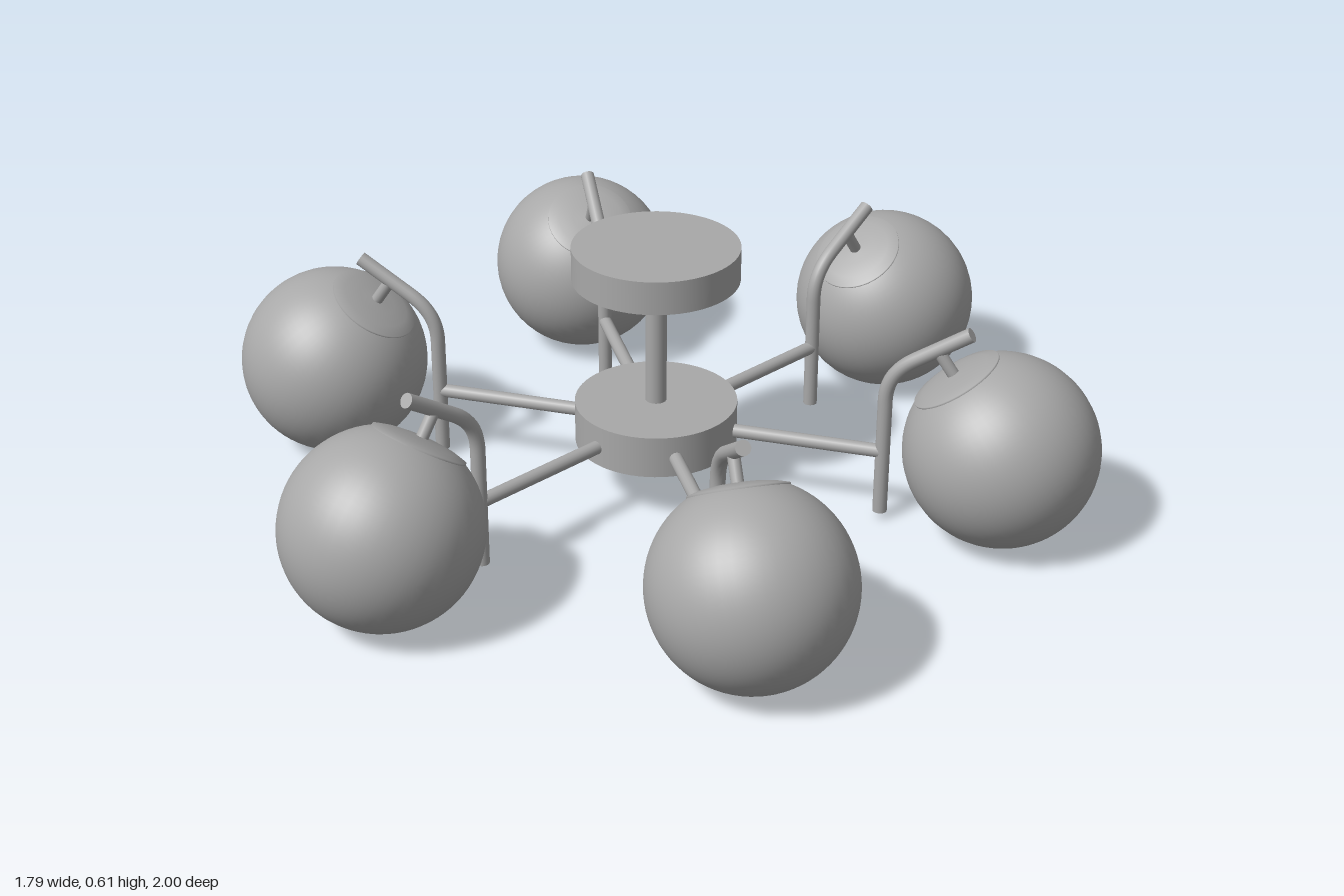
import * as THREE from 'three';

const metal = new THREE.MeshStandardMaterial({ color: 0xa8a8a8 });
metal.name = 'grey';

function add(parent, name, geometry, x = 0, y = 0, z = 0) {
  const mesh = new THREE.Mesh(geometry, metal);
  mesh.name = name;
  mesh.position.set(x, y, z);
  parent.add(mesh);
  return mesh;
}

const drum = (r, h, sides = 64) => new THREE.CylinderGeometry(r, r, h, sides);

// Bent tube: vertical stem, rounded elbow, then a straight outward slope
function stemGeometry(radius) {
  const p = (x, y) => new THREE.Vector3(x, y, 0);
  const path = new THREE.CurvePath();
  path.add(new THREE.LineCurve3(p(0.523, 0.02), p(0.523, 0.30)));
  path.add(new THREE.CubicBezierCurve3(p(0.523, 0.30), p(0.523, 0.35), p(0.545, 0.383), p(0.585, 0.409)));
  path.add(new THREE.LineCurve3(p(0.585, 0.409), p(0.703, 0.486)));
  return new THREE.TubeGeometry(path, 48, radius, 16, false);
}

// One arm, reaching along +x, with its stem and tilted globe
function createArm() {
  const arm = new THREE.Group();
  arm.name = 'lampArm';
  const tube = 0.0165;

  const bar = add(arm, 'armBar', drum(0.0155, 0.373, 16), 0.3365, 0.172, 0);
  bar.rotation.z = Math.PI / 2;

  add(arm, 'bentStem', stemGeometry(tube));
  const bottom = add(arm, 'stemBottomCap', new THREE.CircleGeometry(tube, 16), 0.523, 0.02, 0);
  bottom.rotation.x = Math.PI / 2;
  const top = add(arm, 'stemTopCap', new THREE.CircleGeometry(tube, 16), 0.703, 0.486, 0);
  top.lookAt(0.703 + 0.118, 0.486 + 0.077, 0);

  // The globe's axis leans inward, square to the sloping tube
  const lamp = new THREE.Group();
  lamp.name = 'lamp';
  lamp.position.set(0.784, 0.217, 0);
  lamp.rotation.z = 0.6;
  arm.add(lamp);

  const R = 0.216, capR = 0.105;
  const open = Math.asin(capR / R);
  add(lamp, 'globe', new THREE.SphereGeometry(R, 48, 32, 0, Math.PI * 2, open, Math.PI - open));
  const profile = [[capR - 0.004, 0.175], [capR, 0.188], [capR, 0.193], [0.08, 0.200], [0.045, 0.205], [0, 0.207]];
  add(lamp, 'globeCap', new THREE.LatheGeometry(profile.map(([x, y]) => new THREE.Vector2(x, y)), 48));
  add(lamp, 'globePost', drum(0.0135, 0.07, 16), 0, 0.235, 0);
  return arm;
}

export function createModel() {
  const model = new THREE.Group();
  model.name = 'ceilingLight';

  // Ceiling plate, rod and hub
  add(model, 'ceilingPlate', drum(0.187, 0.077), 0, 0.568, 0);
  add(model, 'rod', drum(0.024, 0.33, 24), 0, 0.375, 0);
  add(model, 'rodCollar', drum(0.027, 0.085, 24), 0, 0.49, 0);
  add(model, 'rodScrew', new THREE.SphereGeometry(0.012, 16, 12), 0, 0.49, 0.024);
  add(model, 'hub', drum(0.184, 0.098), 0, 0.177, 0);
  add(model, 'finial', new THREE.SphereGeometry(0.029, 24, 16), 0, 0.102, 0);

  // Six arms evenly around the hub
  for (let i = 0; i < 6; i++) {
    const arm = createArm();
    arm.rotation.y = Math.PI / 6 + i * Math.PI / 3;
    model.add(arm);
  }
  return model;
}
